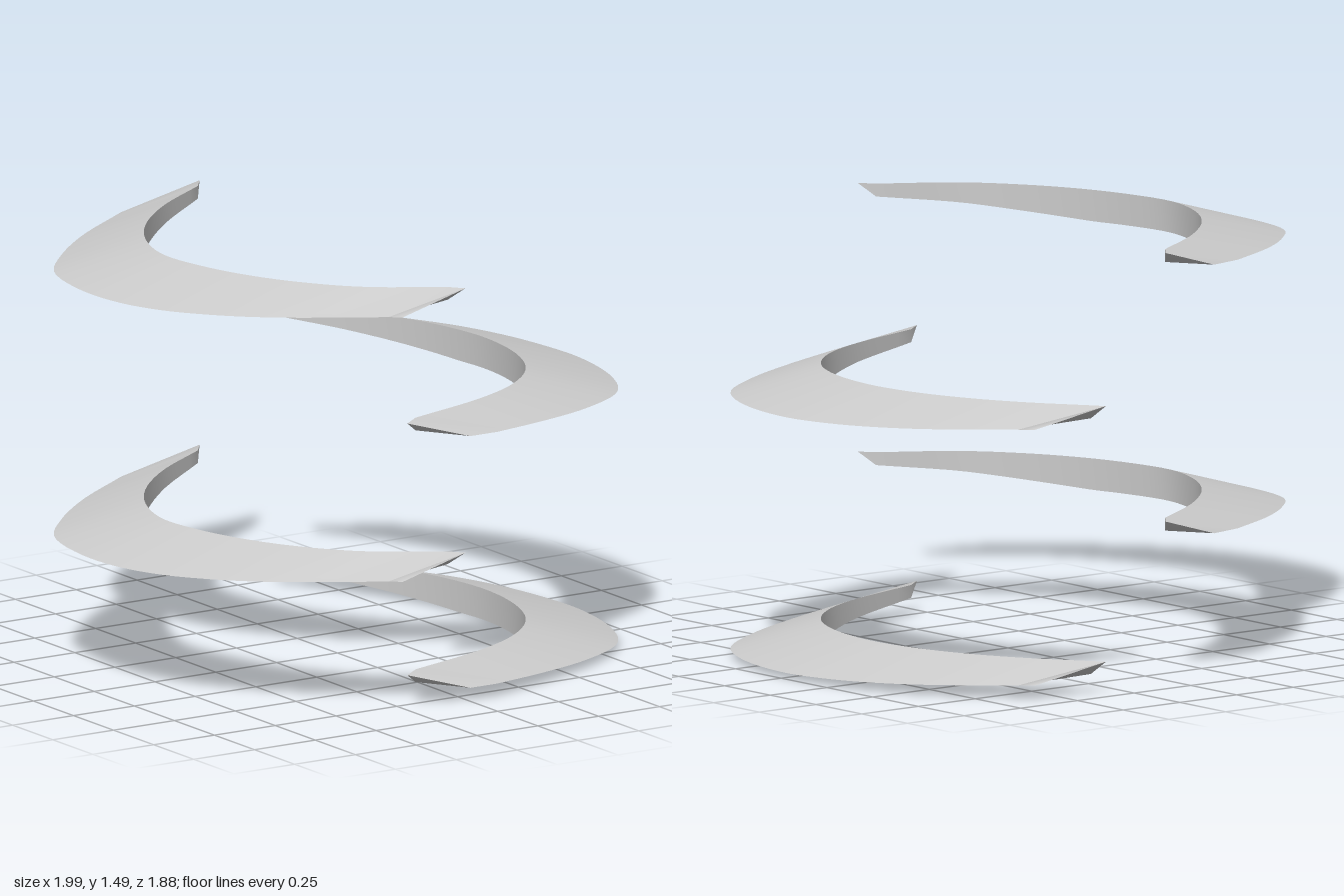
import * as THREE from 'three';
import { mergeGeometries } from 'three/addons/utils/BufferGeometryUtils.js';

const HEIGHT = 0.11;

// Plan outlines as [x, z], inner and outer edge matched station by station.
const RIGHT_SIDE = {
  inner: [[-0.22, 0.77], [-0.15, 0.715], [0.2, 0.6], [0.4, 0.49], [0.55, 0.34], [0.64, 0.15],
    [0.68, -0.09], [0.66, -0.3], [0.6, -0.5], [0.5, -0.7], [0.36, -0.9], [0.33, -0.945]],
  outer: [[0, 0.83], [0.11, 0.83], [0.36, 0.75], [0.6, 0.65], [0.82, 0.5], [0.94, 0.28],
    [0.995, 0], [0.98, -0.2], [0.93, -0.4], [0.83, -0.61], [0.64, -0.85], [0.6, -0.89]],
};
const LEFT_SIDE = {
  inner: [[0.01, -0.875], [-0.04, -0.81], [-0.3, -0.635], [-0.5, -0.44], [-0.62, -0.25], [-0.68, -0.05],
    [-0.66, 0.15], [-0.6, 0.35], [-0.5, 0.54], [-0.36, 0.71], [-0.12, 0.87], [-0.08, 0.92]],
  outer: [[-0.2, -0.88], [-0.33, -0.85], [-0.6, -0.68], [-0.8, -0.51], [-0.94, -0.34], [-0.995, -0.1],
    [-0.99, 0.11], [-0.945, 0.29], [-0.87, 0.45], [-0.72, 0.65], [-0.39, 0.91], [-0.35, 0.94]],
};

// Smooth curve through the middle stations, with straight runs to the tips.
function sampleEdge(points, steps = 40) {
  const v = points.map(([x, z]) => new THREE.Vector3(x, 0, z));
  const curve = new THREE.CatmullRomCurve3(v.slice(1, -1), false, 'centripetal');
  return [v[0], ...curve.getPoints(steps), v[v.length - 1]];
}

// Quad strip between two edges with its own vertices, so edges stay sharp.
function strip(a, b) {
  const positions = [], index = [];
  a.forEach((p, i) => {
    positions.push(...p.toArray(), ...b[i].toArray());
    if (i < a.length - 1) {
      const k = 2 * i;
      index.push(k, k + 1, k + 3, k, k + 3, k + 2);
    }
  });
  const g = new THREE.BufferGeometry();
  g.setAttribute('position', new THREE.Float32BufferAttribute(positions, 3));
  g.setIndex(index);
  g.computeVertexNormals();
  return g;
}

// Crescent of wedge section: sloping top, thin outer rim, upright inner wall.
function bladeGeometry({ inner, outer }) {
  const plan = sampleEdge(inner), rimPlan = sampleEdge(outer);
  const last = plan.length - 1;
  const swell = (i) => Math.sin((Math.PI * Math.min(Math.max(i - 1, 0), last - 2)) / (last - 2));
  const at = (p, y) => new THREE.Vector3(p.x, y, p.z);

  const top = plan.map((p) => at(p, HEIGHT));
  const rim = rimPlan.map((p, i) => at(p, 0.048 - 0.028 * swell(i)));
  // The keel meets the top edge at both tips and drops to the base between them.
  const keel = plan.map((p, i) => at(p, i === 0 || i === last
    ? HEIGHT : 0.065 * (1 - Math.min(1, 1.1 * Math.max(0, swell(i))))));

  return mergeGeometries([strip(top, rim), strip(rim, keel), strip(keel, top)]);
}

export function createModel() {
  const group = new THREE.Group();
  group.name = 'crescentBlades';
  const material = new THREE.MeshStandardMaterial({ color: 0xcccccc, side: THREE.DoubleSide });
  const right = bladeGeometry(RIGHT_SIDE), left = bladeGeometry(LEFT_SIDE);

  // Blades alternate sides going up.
  [[right, 0, 'lowerLeftBlade'], [left, 0.445, 'lowerRightBlade'],
    [right, 0.89, 'upperLeftBlade'], [left, 1.38, 'upperRightBlade']].forEach(([geometry, y, name]) => {
    const blade = new THREE.Mesh(geometry, material);
    blade.position.y = y;
    blade.name = name;
    group.add(blade);
  });
  return group;
}
